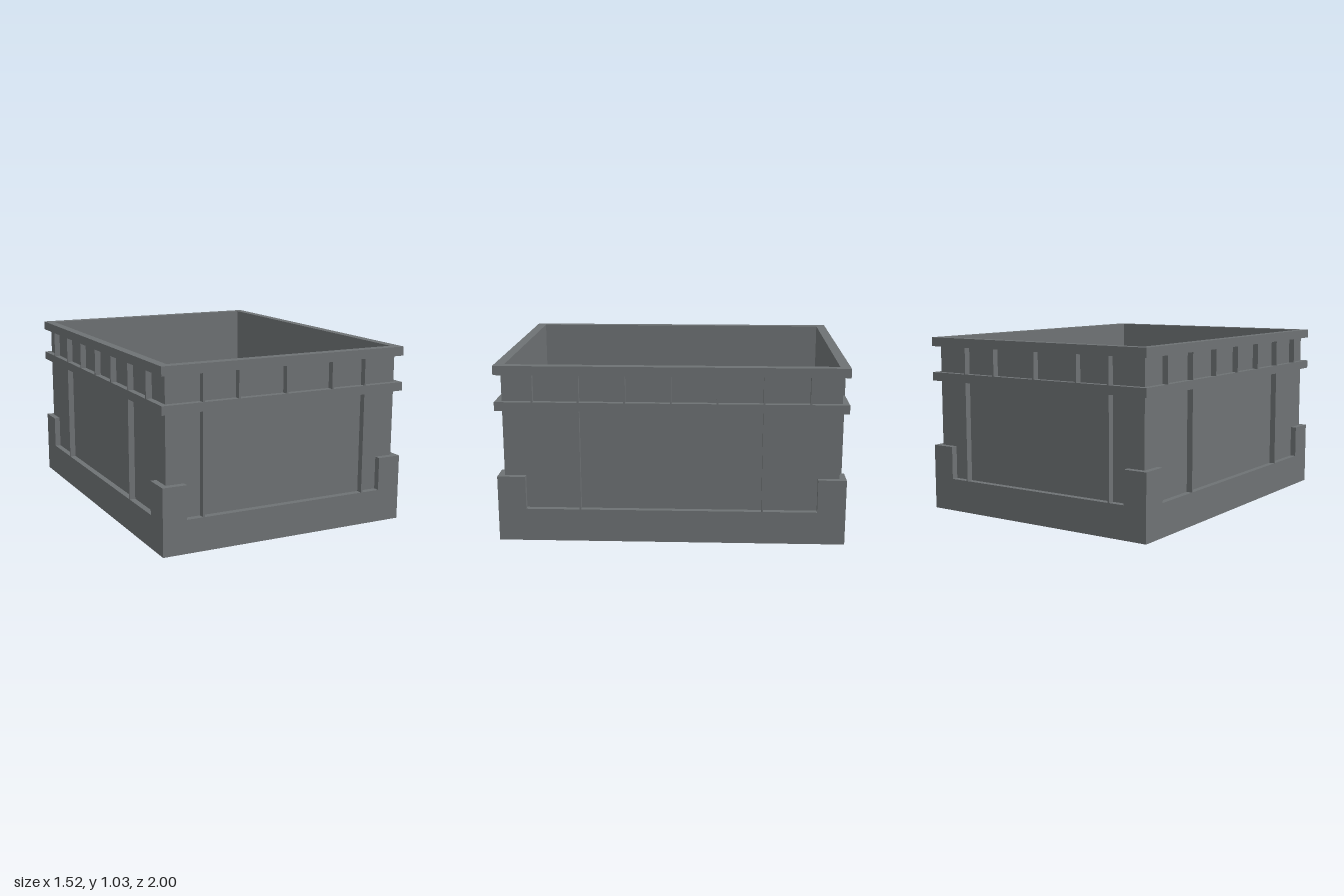
import * as THREE from 'three';

const X = 0.76, Z = 1;          // outer half sizes
const WX = 0.725, WZ = 0.962;   // wall outer half sizes
const IX = 0.706, IZ = 0.942;   // inner half sizes
const FLOOR = 0.192, BAND = [0.775, 0.825], RIM = [0.98, 1.033];

export function createModel() {
  const crate = new THREE.Group();
  crate.name = 'storageCrate';
  const grey = new THREE.MeshStandardMaterial({ color: 0x6e7274 });
  grey.name = 'greyPlastic';

  const add = (name, geometry, x = 0, y = 0, z = 0) => {
    const mesh = new THREE.Mesh(geometry, grey);
    mesh.name = name;
    mesh.position.set(x, y, z);
    crate.add(mesh);
  };
  const rect = (Type, a, b) => new Type([[-a, -b], [a, -b], [a, b], [-a, b]].map(p => new THREE.Vector2(...p)));
  // Raise a plan outline from y0 to y1
  const raise = (name, shape, y0, y1) => {
    const g = new THREE.ExtrudeGeometry(shape, { depth: y1 - y0, bevelEnabled: false });
    add(name, g.rotateX(-Math.PI / 2), 0, y0, 0);
  };
  const ring = (name, ox, oz, ix, iz, y0, y1) => {
    const shape = rect(THREE.Shape, ox, oz);
    shape.holes.push(rect(THREE.Path, ix, iz));
    raise(name, shape, y0, y1);
  };

  // Base, walls, band and rim
  add('base', new THREE.BoxGeometry(2 * X, FLOOR, 2 * Z), 0, FLOOR / 2, 0);
  ring('walls', WX, WZ, IX, IZ, FLOOR, RIM[0]);
  ring('band', X, Z, WX, WZ, ...BAND);
  ring('rim', X, Z, IX, IZ, ...RIM);

  // L-shaped corner guards
  for (const sx of [-1, 1]) for (const sz of [-1, 1]) {
    const pts = [[X, Z], [0.618, Z], [0.618, WZ], [WX, WZ], [WX, 0.838], [X, 0.838]];
    raise('cornerGuard', new THREE.Shape(pts.map(([x, z]) => new THREE.Vector2(sx * x, sz * z))), FLOOR, 0.385);
  }

  // Upright ribs: short ones between band and rim, long ones below the band
  const rib = 0.01;
  const spans = [
    { name: 'upperRib', y0: BAND[1], y1: RIM[0], xs: [-0.518, -0.304, -0.01, 0.285, 0.503], zs: [-0.786, -0.524, -0.262, 0, 0.262, 0.524, 0.786] },
    { name: 'lowerRib', y0: FLOOR, y1: BAND[0], xs: [-0.518, 0.503], zs: [-0.524, 0.524] },
  ];
  for (const { name, y0, y1, xs, zs } of spans) {
    const h = y1 - y0, y = (y0 + y1) / 2;
    for (const s of [-1, 1]) {
      for (const x of xs) add(name, new THREE.BoxGeometry(rib, h, Z - WZ), x, y, s * (Z + WZ) / 2);
      for (const z of zs) add(name, new THREE.BoxGeometry(X - WX, h, rib), s * (X + WX) / 2, y, z);
    }
  }
  return crate;
}
